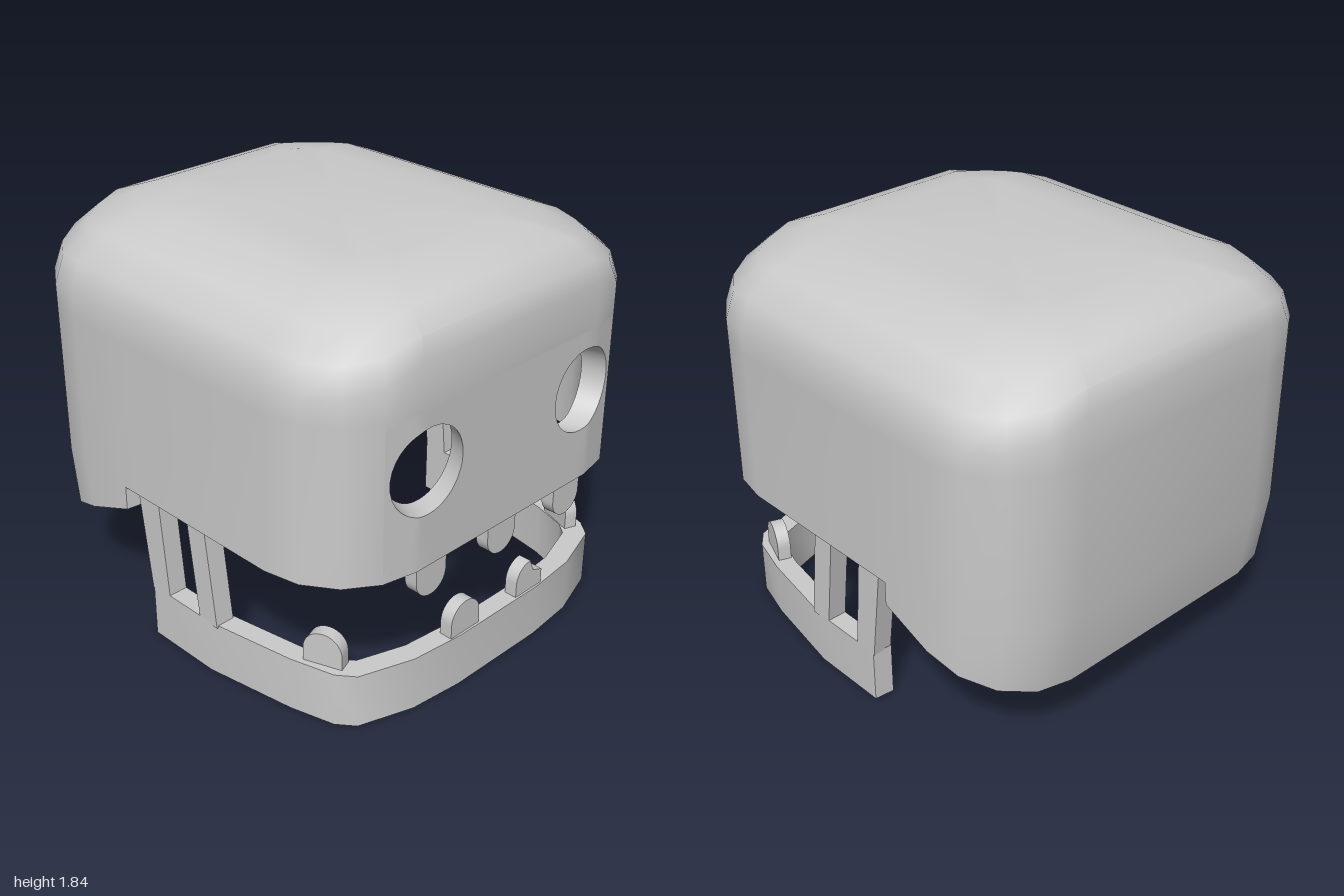
import * as THREE from 'three';
import { toCreasedNormals } from 'three/addons/utils/BufferGeometryUtils.js';

const V = (x, y, z) => new THREE.Vector3(x, y, z);
const lerp = THREE.MathUtils.lerp;
const grey = new THREE.MeshStandardMaterial({ color: 0xcccccc });

// Adds a grid of rows of points to a triangle list, skipping empty triangles
function addGrid(out, rows, flip = false) {
  const tri = (a, b, c) => {
    const n = b.clone().sub(a).cross(c.clone().sub(a));
    if (n.length() < 1e-8) return;
    for (const p of flip ? [a, c, b] : [a, b, c]) out.push(p.x, p.y, p.z);
  };
  for (let i = 0; i < rows.length - 1; i++) {
    for (let j = 0; j < rows[i].length - 1; j++) {
      const a = rows[i][j], b = rows[i][j + 1], c = rows[i + 1][j + 1], d = rows[i + 1][j];
      tri(a, b, c);
      tri(a, c, d);
    }
  }
}

const closed = row => [...row, row[0]];
const atHeight = (row, y) => row.map(p => V(p.x, y, p.z));

// Rounded rectangle around the skull; the height differs on the side (yx) and front/back (yz),
// and sags a little at the corners
function ring({ hx, hz, r, yx = 0, yz = 0, sag = 0, step = -0.3 }) {
  const pts = [];
  for (let c = 0; c < 4; c++) {
    const sx = c < 2 ? 1 : -1, sz = c === 0 || c === 3 ? 1 : -1;
    for (let i = 0; i <= 4; i++) {
      const a = (c + i / 4) * Math.PI / 2;
      const w = c % 2 === 0 ? i / 4 : 1 - i / 4;
      pts.push(V(sx * (hx - r) + r * Math.sin(a), lerp(yz, yx, w) - 4 * sag * w * (1 - w),
        sz * (hz - r) + r * Math.cos(a)));
    }
    // doubled points for the step in the rim
    if (c % 2 === 0) for (let k = 0; k < 2; k++) pts.push(V(sx * hx, yx, step));
  }
  return pts;
}

// Lower edge: level in front, sloping down and tucked in at the back
function rim(top) {
  return top.map((p, i) => {
    if (i < 6 || i > 17) return V(p.x, 0.7, p.z);
    const y = 0.59 + 0.343 * (p.z + 0.3);
    return V(p.x, y, p.z < -0.5 ? p.z + 0.05 * (0.7 - y) / 0.35 : p.z);
  });
}

// Rectangle of wall around one eye, counterclockwise from the front
function eyeBorder(top) {
  const [p1, p2] = top;
  const corners = [[0, 0.7], [p1.x, 0.7], [p2.x, 0.7], [p2.x, p2.y], [p1.x, p1.y], [0, p1.y]];
  const steps = [8, 4, 14, 4, 8, 8], pts = [];
  corners.forEach((c, i) => {
    const d = corners[(i + 1) % 6];
    for (let k = 0; k < steps[i]; k++) pts.push([lerp(c[0], d[0], k / steps[i]), lerp(c[1], d[1], k / steps[i])]);
  });
  return pts;
}

function skullGeometry() {
  const out = [];
  const dome = [
    { hx: 0.95, hz: 1, r: 0.42, yx: 1.51, yz: 1.6, sag: 0.05 },
    { hx: 0.91, hz: 0.97, r: 0.4, yx: 1.64, yz: 1.69, sag: 0.04 },
    { hx: 0.79, hz: 0.88, r: 0.32, yx: 1.74, yz: 1.77, sag: 0.03 },
    { hx: 0.6, hz: 0.74, r: 0.22, yx: 1.82, yz: 1.82, sag: 0.015 },
    { hx: 0.4, hz: 0.6, r: 0.12, yx: 1.84, yz: 1.84 },
  ].map(ring);
  const outer = atHeight(dome[0], 1.4);
  // the cavity ends in a flat ceiling that slopes down towards the back
  const inner = ring({ hx: 0.85, hz: 0.9, r: 0.34, step: -0.275 })
    .map(p => V(p.x, 1.445 + 0.205 * p.z, p.z));

  addGrid(out, [outer, ...dome, dome[4].map(() => V(0, 1.84, 0))].map(closed));
  addGrid(out, [inner, inner.map(() => V(0, 1.445, 0))].map(closed), true);

  // walls, leaving the front to the eye panels
  [outer, inner].forEach((top, k) => {
    const wall = [rim(top), atHeight(top, 0.7), top];
    addGrid(out, wall.map(row => row.slice(1, -1)), k === 1);
  });
  addGrid(out, [closed(rim(inner)), closed(rim(outer))]);

  // eye panels: outer wall, tilted hole, inner wall
  const layers = [outer, inner].map((top, k) => ({ top, border: eyeBorder(top), cx: k ? 0.43 : 0.477 }));
  const angles = layers[0].border.map(([x, y]) => Math.atan2(y - 1.13, x - 0.477));
  for (const s of [1, -1]) {
    const rows = [];
    layers.forEach(({ top, border, cx }, k) => {
      const [p1, p2] = top;
      const zAt = x => x <= p1.x ? p1.z : lerp(p1.z, p2.z, (x - p1.x) / (p2.x - p1.x));
      for (let i = 0; i <= 4; i++) {
        const t = k ? 1 - i / 4 : i / 4;
        rows.push(closed(border.map(([bx, by], j) => {
          const x = lerp(bx, cx + 0.19 * Math.cos(angles[j]), t);
          const y = lerp(by, 1.13 + 0.19 * Math.sin(angles[j]), t);
          return V(s * x, y, zAt(x));
        })));
      }
    });
    addGrid(out, rows, s < 0);
  }
  const geo = new THREE.BufferGeometry();
  geo.setAttribute('position', new THREE.Float32BufferAttribute(out, 3));
  return toCreasedNormals(geo, 0.7);
}

const extrude = (shape, depth) =>
  new THREE.ExtrudeGeometry(shape, { depth, bevelEnabled: false, curveSegments: 10 });
const polygon = pts => new THREE.Shape(pts.map(p => new THREE.Vector2(...p)));

// Tooth with a round tip pointing up, centred on its own origin
function toothGeometry(length, depth) {
  const r = 0.087, s = new THREE.Shape();
  s.moveTo(-r, -0.03);
  s.lineTo(r, -0.03);
  s.lineTo(r, length - r);
  s.absarc(0, length - r, r, 0, Math.PI, false);
  s.closePath();
  return toCreasedNormals(extrude(s, depth).translate(0, 0, -depth / 2), 0.6);
}

function brokenToothGeometry(depth) {
  const s = new THREE.Shape();
  s.moveTo(-0.087, -0.03);
  s.lineTo(0.083, -0.03);
  s.lineTo(0.083, 0.07);
  s.lineTo(0.025, 0.09);
  s.lineTo(0, 0.15);
  s.absarc(0, 0.063, 0.087, Math.PI / 2, Math.PI, false);
  s.closePath();
  return toCreasedNormals(extrude(s, depth).translate(0, 0, -depth / 2), 0.6);
}

export function createModel() {
  const model = new THREE.Group();
  const add = (name, geo, x = 0, y = 0, z = 0) => {
    const m = new THREE.Mesh(geo, grey);
    m.name = name;
    m.position.set(x, y, z);
    model.add(m);
    return m;
  };

  add('skull', skullGeometry());

  // U-shaped jaw band
  const outside = [[0.93, -0.17], [0.93, 0.2], [0.86, 0.62], [0.805, 0.82], [0.745, 0.895], [0.5, 0.975], [0.25, 1]];
  const inside = [[0.84, -0.18], [0.84, 0.18], [0.77, 0.6], [0.72, 0.76], [0.675, 0.815], [0.46, 0.885], [0.2, 0.91]];
  const mirrored = half => [...half, ...half.map(([x, z]) => [-x, z]).reverse()];
  const band = [...mirrored(outside), ...mirrored(inside).reverse()].map(([x, z]) => [x, -z]);
  add('jaw', toCreasedNormals(extrude(polygon(band), 0.25).rotateX(-Math.PI / 2), 0.6));

  // leaning posts that join the jaw to the skull
  const posts = {
    frontPost: [[-0.25, 0.24], [-0.14, 0.24], [-0.08, 0.71], [-0.19, 0.71]],
    rearPost: [[0.06, 0.24], [0.175, 0.24], [0.237, 0.71], [0.105, 0.71]],
  };
  for (const s of [1, -1]) {
    for (const [name, pts] of Object.entries(posts)) {
      add(name, extrude(polygon(pts), 0.09).rotateY(Math.PI / 2), s > 0 ? 0.84 : -0.93);
    }
    add('cornerTooth', toothGeometry(0.15, 0.06), s * 0.765, 0.25, 0.73).rotation.y = s * 1.22;
  }

  // front teeth
  add('lowerTooth', toothGeometry(0.15, 0.06), -0.21, 0.25, 0.96);
  add('brokenLowerTooth', brokenToothGeometry(0.06), 0.208, 0.25, 0.96);
  for (const x of [-0.43, 0, 0.43]) {
    add('upperTooth', toothGeometry(0.16, 0.06), x, 0.7, 0.955).rotation.z = Math.PI;
  }
  return model;
}
